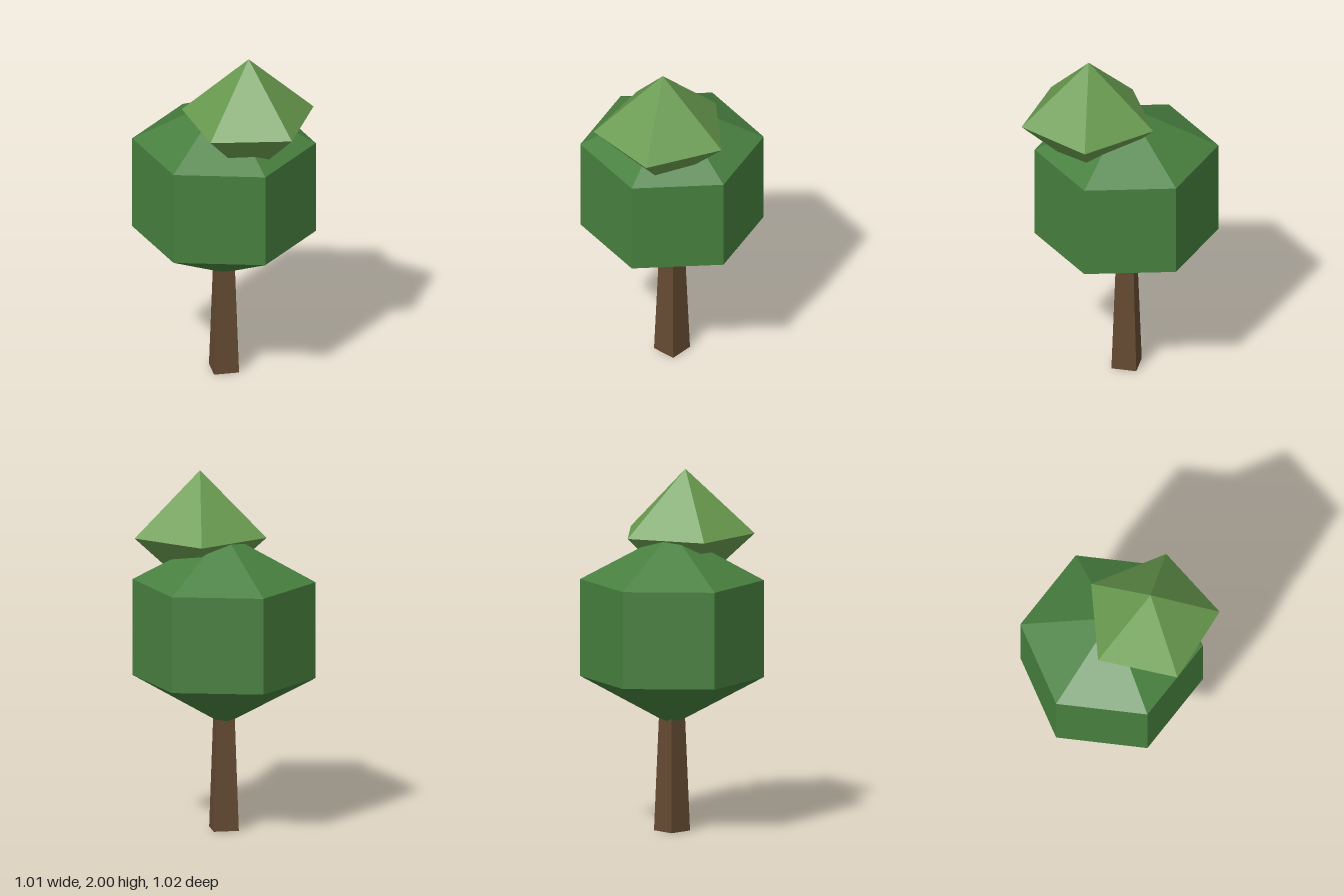
import * as THREE from 'three';

const material = (name, color) => {
  const m = new THREE.MeshStandardMaterial({ color, flatShading: true });
  m.name = name;
  return m;
};

export function createModel() {
  const tree = new THREE.Group();
  tree.name = 'tree';

  const add = (name, geometry, mat, x, y, z) => {
    const mesh = new THREE.Mesh(geometry, mat);
    mesh.name = name;
    mesh.position.set(x, y, z);
    tree.add(mesh);
  };

  // Faceted foliage: a coarse, slightly squashed sphere with one corner facing the front
  const foliage = (radius, height, sides, rows) =>
    new THREE.SphereGeometry(radius, sides, rows)
      .rotateY(Math.PI / 2)
      .scale(1, height / (2 * radius), 1);

  // Square tapered trunk, its top hidden in the crown
  add('trunk', new THREE.CylinderGeometry(0.07, 0.1, 0.7, 4), material('bark brown', 0x644a32), -0.067, 0.35, 0);

  // Large six-sided crown
  add('mainCrown', foliage(0.589, 1.09, 6, 3), material('dark leaf green', 0x48803f), -0.067, 1.138, 0);

  // Small five-sided crown sunk into the large one
  add('topCrown', foliage(0.385, 0.72, 5, 2), material('light leaf green', 0x699b4f), 0.14, 1.64, 0.066);

  return tree;
}
